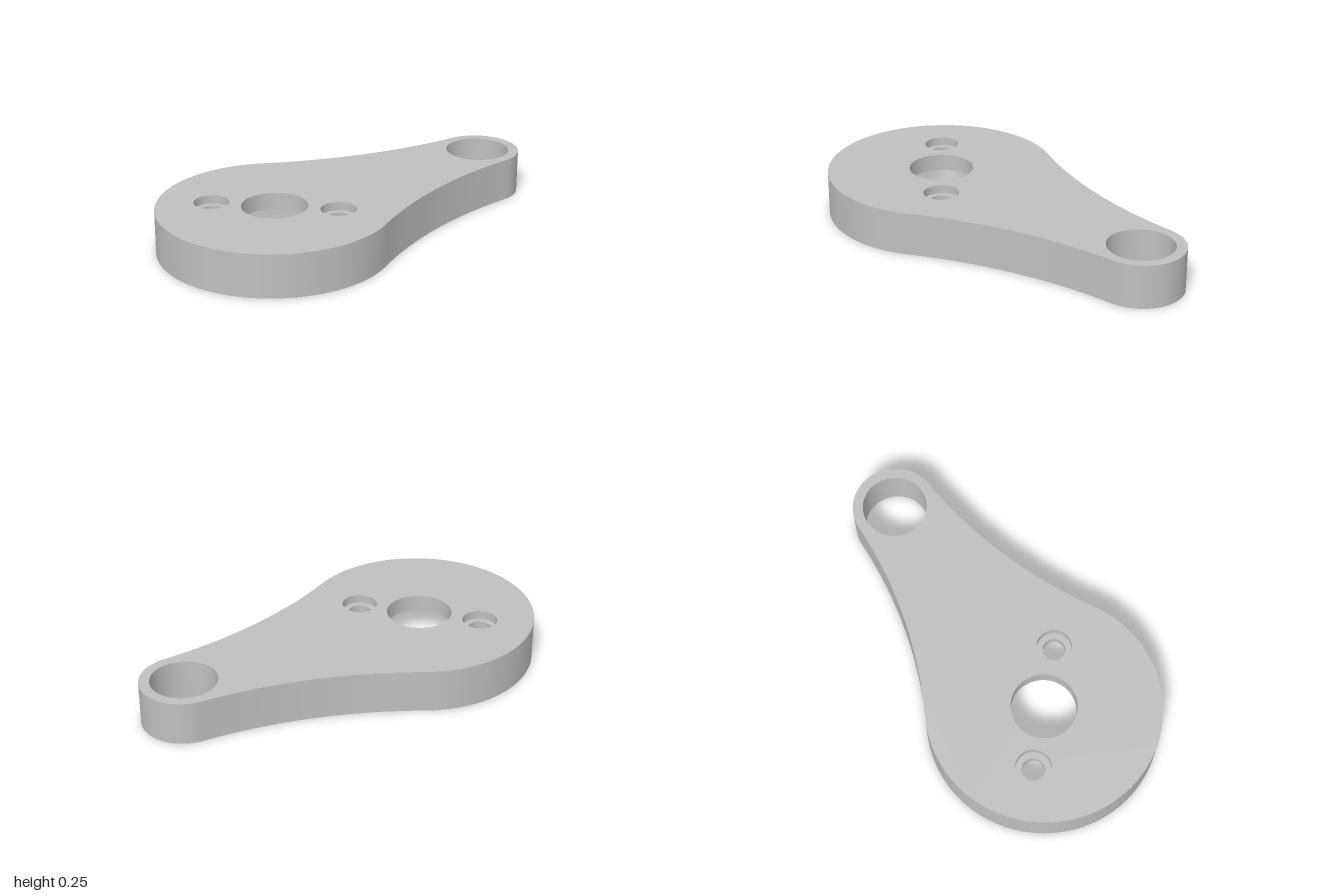
import * as THREE from 'three';
import { mergeGeometries } from 'three/addons/utils/BufferGeometryUtils.js';

// Heights: full plate, recess ceiling, counterbore floor
const H = 0.255, CEILING = 0.155, STEP = 0.205;
// Plan coordinates: x to the right, y towards the back (-z)
const HUB = [-0.325, -0.325], EYE = [0.75, 0.75];
const HUB_R = 0.675, EYE_R = 0.25, FILLET_R = 2.7;
const BORE_R = 0.19, RECESS_R = 0.576, SCREW_R = 0.065, COUNTER_R = 0.102;
const SCREWS = [-0.364, 0.364].map((dx) => [HUB[0] + dx, HUB[1]]);

// Points along an arc, leaving out the last so that arcs can be chained
function arc([cx, cy], r, a0, a1, n) {
  return Array.from({ length: n }, (_, i) => {
    const a = a0 + ((a1 - a0) * i) / n;
    return new THREE.Vector2(cx + r * Math.cos(a), cy + r * Math.sin(a));
  });
}
const circle = (c, r, n = 64) => arc(c, r, 0, Math.PI * 2, n);

// Hub and eye circles joined by two tangent concave arcs
function makeOutline() {
  const axis = Math.PI / 4;
  const d = Math.hypot(EYE[0] - HUB[0], EYE[1] - HUB[1]);
  const ra = FILLET_R + HUB_R, rb = FILLET_R + EYE_R;
  const along = (ra * ra - rb * rb + d * d) / (2 * d);
  const across = Math.sqrt(ra * ra - along * along);
  const phi = Math.atan2(across, along), psi = Math.atan2(across, along - d);
  const centre = (side) => [
    HUB[0] + ra * Math.cos(axis + side * phi),
    HUB[1] + ra * Math.sin(axis + side * phi),
  ];
  return [
    ...arc(HUB, HUB_R, axis + phi, axis - phi + Math.PI * 2, 96),
    ...arc(centre(-1), FILLET_R, axis - phi + Math.PI, axis - psi + Math.PI, 32),
    ...arc(EYE, EYE_R, axis - psi, axis + psi, 40),
    ...arc(centre(1), FILLET_R, axis + psi + Math.PI, axis + phi + Math.PI, 32),
  ];
}

// Flat horizontal face with holes, facing up or down
function face(points, holes, y, up) {
  const shape = new THREE.Shape(points);
  shape.holes = holes.map((h) => new THREE.Path(h));
  const g = new THREE.ShapeGeometry(shape);
  g.rotateX(-Math.PI / 2).translate(0, y, 0);
  if (!up) {
    g.index.array.reverse();
    g.computeVertexNormals();
  }
  g.deleteAttribute('uv');
  return g;
}

// Smooth vertical wall around a closed loop, facing out or into a hole
function wall(points, y0, y1, outward) {
  const pos = [], idx = [], n = points.length;
  points.forEach((p, i) => {
    pos.push(p.x, y0, -p.y, p.x, y1, -p.y);
    const a = 2 * i, b = 2 * ((i + 1) % n);
    idx.push(a, b, b + 1, a, b + 1, a + 1);
  });
  if (!outward) idx.reverse();
  const g = new THREE.BufferGeometry();
  g.setAttribute('position', new THREE.Float32BufferAttribute(pos, 3));
  g.setIndex(idx);
  g.computeVertexNormals();
  return g;
}

export function createModel() {
  const group = new THREE.Group();
  group.name = 'mountingArm';
  const metal = new THREE.MeshStandardMaterial({ color: 0xbfbfbf });
  metal.name = 'plain grey';
  const add = (name, ...parts) => {
    const mesh = new THREE.Mesh(mergeGeometries(parts), metal);
    mesh.name = name;
    group.add(mesh);
  };

  const outline = makeOutline();
  const bore = circle(HUB, BORE_R), eye = circle(EYE, BORE_R);
  const recess = circle(HUB, RECESS_R, 96);
  const counters = SCREWS.map((c) => circle(c, COUNTER_R, 48));
  const screws = SCREWS.map((c) => circle(c, SCREW_R, 48));

  // Outer body
  add('outerWall', wall(outline, 0, H, true));
  add('topFace', face(outline, [bore, eye, ...counters], H, true));
  add('bottomFace', face(outline, [recess, eye], 0, false));

  // Round recess under the hub
  add('hubRecess', wall(recess, 0, CEILING, false),
    face(recess, [bore, ...screws], CEILING, false));

  // Through holes
  add('centreBore', wall(bore, CEILING, H, false));
  add('eyeBore', wall(eye, 0, H, false));

  // Counterbored screw holes
  screws.forEach((screw, i) => add(i ? 'leftScrewHole' : 'rightScrewHole',
    wall(counters[i], STEP, H, false),
    face(counters[i], [screw], STEP, true),
    wall(screw, CEILING, STEP, false)));

  return group;
}
